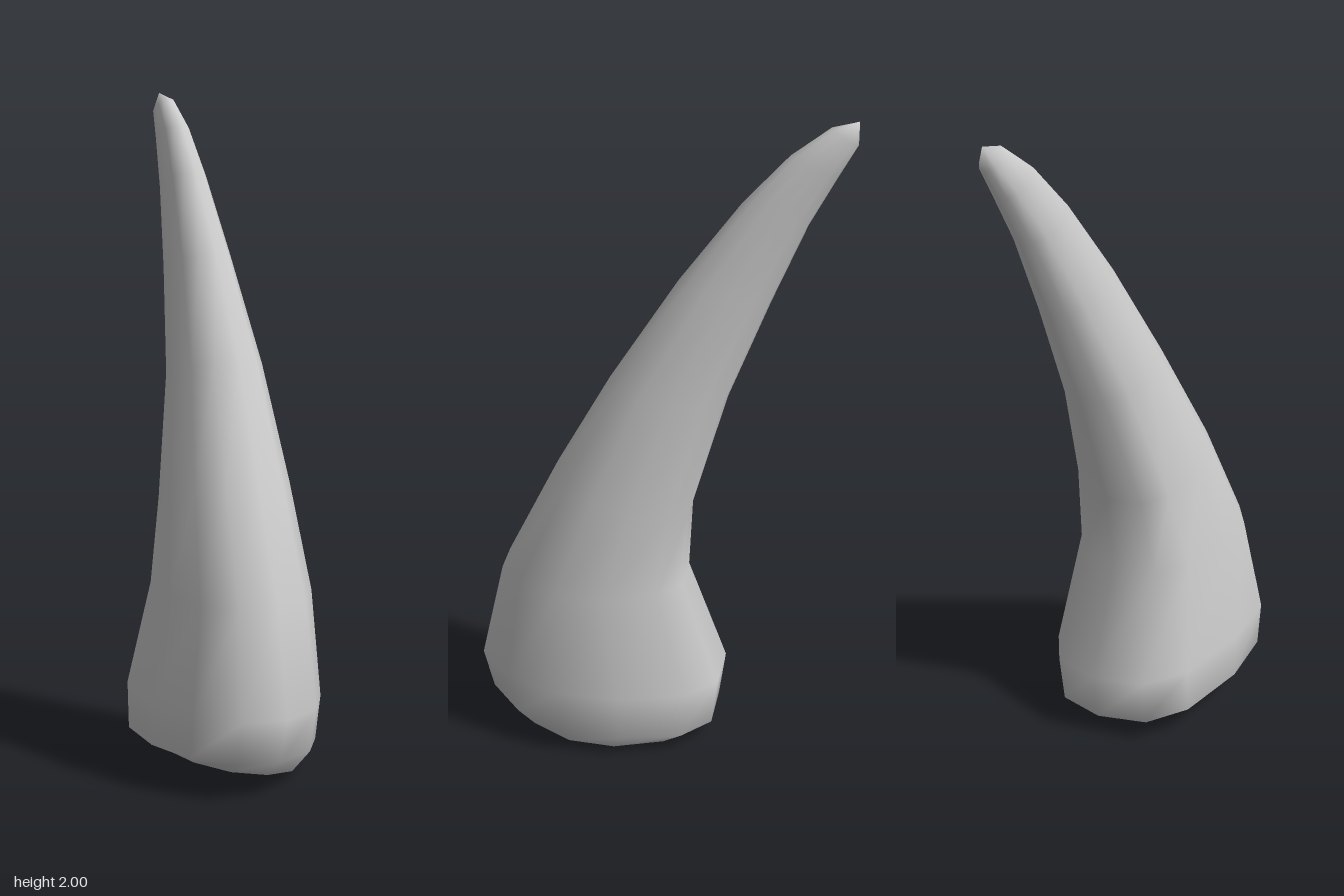
import * as THREE from 'three';

const SIDES = 12;

// Cross-sections from base to tip:
// [front z, front y, back z, back y, -x side, +x side, sideways tilt, shear]
const RINGS = [
  [0.46, 0.05, -0.11, 0.035, -0.225, 0.2, -0.04, 0.2],
  [0.53, 0.11, -0.19, 0.06, -0.265, 0.255, -0.015, 0.25],
  [0.56, 0.24, -0.21, 0.21, -0.265, 0.263, -0.01, 0.25],
  [0.49, 0.55, -0.09, 0.55, -0.215, 0.225, 0, 0.15],
  [0.33, 0.88, -0.10, 0.78, -0.165, 0.205, 0, 0.1],
  [0.15, 1.21, -0.20, 1.14, -0.09, 0.18, 0, 0],
  [-0.05, 1.52, -0.32, 1.45, -0.03, 0.157, 0, 0],
  [-0.23, 1.76, -0.42, 1.69, 0.015, 0.145, 0, 0],
  [-0.36, 1.90, -0.50, 1.84, 0.045, 0.14, 0, 0],
  [-0.47, 1.98, -0.55, 1.93, 0.066, 0.132, 0, 0],
];
const TIP = [0.1, 1.998, -0.55];

const rounded = (v, p) => Math.sign(v) * Math.pow(Math.abs(v), p);

// Point on a cross-section; the back of the base is squarer than the front
function ringPoint([zf, yf, zb, yb, x0, x1, tilt, shear], j) {
  const a = (j / SIDES) * Math.PI * 2;
  const c = Math.cos(a), s = Math.sin(a);
  const square = s < 0 && shear > 0 ? 0.75 : 0.95;
  const u = rounded(c, square), v = rounded(s, square);
  const half = (x1 - x0) / 2;
  return [
    (x0 + x1) / 2 + half * u,
    (yf + yb) / 2 + ((yf - yb) / 2) * v + tilt * u,
    (zf + zb) / 2 + ((zf - zb) / 2) * v - shear * half * u * (0.5 + 0.5 * v),
  ];
}

function makeGeometry(points, index) {
  const g = new THREE.BufferGeometry();
  g.setAttribute('position', new THREE.Float32BufferAttribute(points.flat(), 3));
  g.setIndex(index);
  g.computeVertexNormals();
  return g;
}

export function createModel() {
  const group = new THREE.Group();
  group.name = 'horn';
  const material = new THREE.MeshStandardMaterial({ color: 0xcccccc, side: THREE.DoubleSide });

  // Curved, tapering horn wall closed at the tip
  const points = [], index = [];
  for (const ring of RINGS) {
    for (let j = 0; j < SIDES; j++) points.push(ringPoint(ring, j));
  }
  const tip = points.push(TIP) - 1;
  RINGS.forEach((_, i) => {
    for (let j = 0; j < SIDES; j++) {
      const a = i * SIDES + j, b = i * SIDES + ((j + 1) % SIDES);
      if (i === RINGS.length - 1) index.push(a, tip, b);
      else index.push(a, a + SIDES, b, b, a + SIDES, b + SIDES);
    }
  });
  const wall = new THREE.Mesh(makeGeometry(points, index), material);
  wall.name = 'hornBody';

  // Slanted base face
  const rim = points.slice(0, SIDES);
  const centre = [0, 1, 2].map((k) => rim.reduce((sum, p) => sum + p[k], 0) / SIDES);
  const fan = [];
  for (let j = 0; j < SIDES; j++) fan.push(SIDES, j, (j + 1) % SIDES);
  const base = new THREE.Mesh(makeGeometry([...rim, centre], fan), material);
  base.name = 'hornBase';

  group.add(wall, base);
  return group;
}
